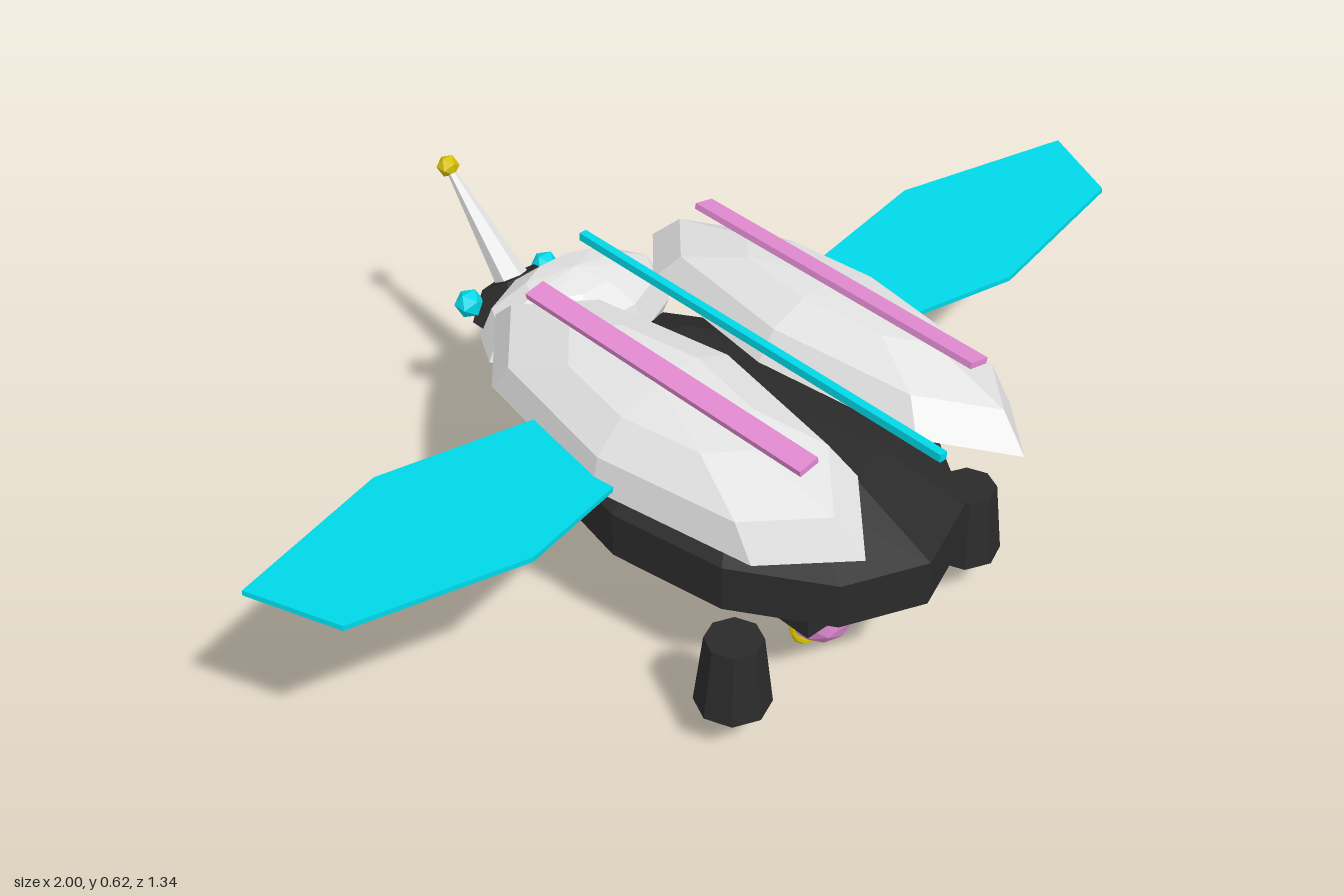
import * as THREE from 'three';

const paint = (name, color, extra = {}) =>
  new THREE.MeshStandardMaterial({ name, color, flatShading: true, ...extra });

export function createModel() {
  const dark = paint('charcoal', 0x2a2a2a);
  const grey = paint('lightGrey', 0xe4e4e4, { side: THREE.DoubleSide });
  const pink = paint('pink', 0xe08ad0);
  const teal = paint('teal', 0x00dcec);
  const gold = paint('gold', 0xd6c200);

  const model = new THREE.Group();
  model.name = 'beetleCraft';

  const add = (name, geometry, material, x, y, z) => {
    const mesh = new THREE.Mesh(geometry, material);
    mesh.name = name;
    mesh.position.set(x, y, z);
    model.add(mesh);
    return mesh;
  };
  const ellipsoid = (rx, ry, rz, around, rings, sweep = Math.PI) =>
    new THREE.SphereGeometry(1, around, rings, 0, Math.PI * 2, 0, sweep).scale(rx, ry, rz);

  // Body and belly rail
  add('body', ellipsoid(0.329, 0.15, 0.49, 12, 5), dark, 0, 0.3, 0.18);
  add('bellyRail', new THREE.BoxGeometry(0.22, 0.06, 0.58), dark, 0, 0.15, 0.18);

  // Orbs under the belly, each in a gold ring
  for (const z of [0.395, 0.205, 0.015]) {
    add('orb', new THREE.IcosahedronGeometry(0.068, 1), pink, 0, 0.08, z);
    add('orbRing', new THREE.TorusGeometry(0.073, 0.006, 6, 20), gold, 0, 0.08, z);
  }

  // Thorax, head and horn
  add('thorax', ellipsoid(0.214, 0.117, 0.131, 10, 6), grey, 0, 0.381, -0.275);
  add('head', new THREE.DodecahedronGeometry(1).scale(0.115, 0.082, 0.081), dark, 0, 0.325, -0.43);
  const base = new THREE.Vector3(0, 0.36, -0.45);
  const tip = new THREE.Vector3(0, 0.55, -0.65);
  const along = tip.clone().sub(base);
  const middle = base.clone().add(tip).multiplyScalar(0.5);
  const horn = add('horn', new THREE.CylinderGeometry(0.007, 0.036, along.length(), 6), grey, ...middle.toArray());
  horn.quaternion.setFromUnitVectors(new THREE.Vector3(0, 1, 0), along.normalize());
  add('hornTip', new THREE.IcosahedronGeometry(0.023), gold, 0, 0.55, -0.65);

  // Rod between the wing cases
  add('spineRod', new THREE.BoxGeometry(0.016, 0.016, 0.9), teal, 0, 0.583, 0.203);

  // Wing outline as x, z
  const outline = [[0.24, 0.03], [0.35, 0.005], [0.66, -0.035], [1, 0.072], [0.93, 0.243], [0.59, 0.3], [0.34, 0.235], [0.24, 0.2]];

  for (const [side, s] of [['left', 1], ['right', -1]]) {
    // Wing case dome with its stripe, tipped outward
    add(side + 'WingCase', ellipsoid(0.18, 0.122, 0.47, 8, 3, Math.PI / 2), grey, s * 0.197, 0.485, 0.2)
      .rotation.z = -s * 0.2;
    add(side + 'Stripe', new THREE.BoxGeometry(0.042, 0.012, 0.685), pink, s * 0.207, 0.612, 0.203)
      .rotation.z = -s * 0.2;

    // Flat wing rising slightly to its tip
    const shape = new THREE.Shape(outline.map(([x, z]) => new THREE.Vector2(s * x, -z)));
    const wing = new THREE.ExtrudeGeometry(shape, { depth: 0.01, bevelEnabled: false });
    wing.rotateX(-Math.PI / 2);
    add(side + 'Wing', wing, teal, 0, 0.44, 0).rotation.z = s * 0.067;

    add(side + 'Eye', new THREE.IcosahedronGeometry(0.03), teal, s * 0.097, 0.354, -0.48);

    // Stub legs with gold soles
    for (const [end, z] of [['front', 0.475], ['back', -0.125]]) {
      add(`${end}${side}Leg`, new THREE.CylinderGeometry(0.053, 0.07, 0.145, 8), dark, s * 0.3, 0.1735, z);
      add(`${end}${side}Sole`, new THREE.CylinderGeometry(0.059, 0.059, 0.012, 8), gold, s * 0.3, 0.1, z);
    }
  }
  return model;
}
